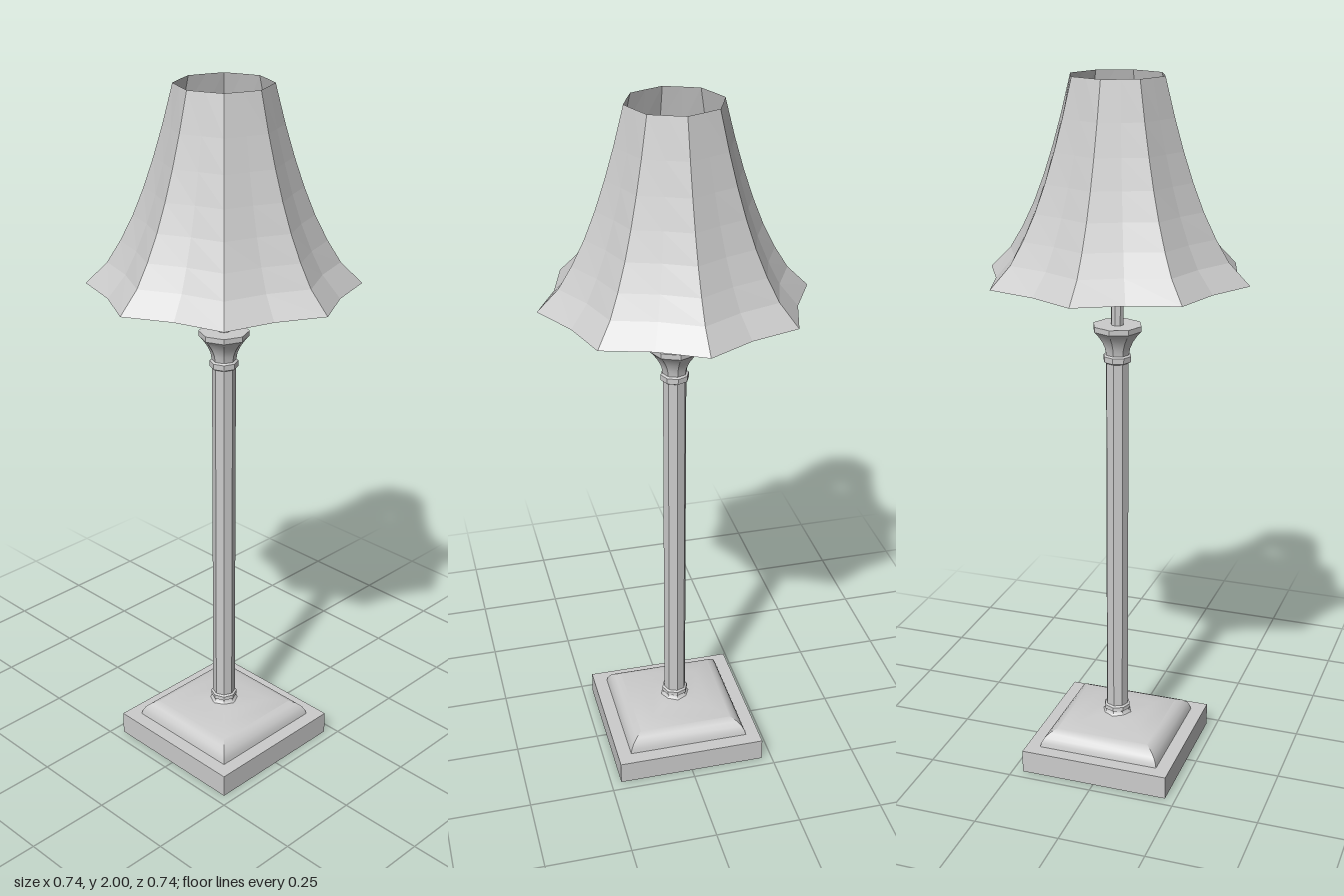
import * as THREE from 'three';
import { toCreasedNormals } from 'three/addons/utils/BufferGeometryUtils.js';

const points = (profile) => profile.map(([r, y]) => new THREE.Vector2(r, y));

export function createModel() {
  const lamp = new THREE.Group();
  const smooth = new THREE.MeshStandardMaterial({ color: 0xcccccc });
  const faceted = new THREE.MeshStandardMaterial({
    color: 0xcccccc, flatShading: true, side: THREE.DoubleSide,
  });

  const add = (name, geometry, material = smooth) => {
    const mesh = new THREE.Mesh(geometry, material);
    mesh.name = name;
    lamp.add(mesh);
    return mesh;
  };

  // Turned part with a few sides; creases stay sharp between the sides
  const turned = (name, profile, sides = 8, start = 0, crease = 0.6) =>
    add(name, toCreasedNormals(new THREE.LatheGeometry(points(profile), sides, start), crease));

  // Square plinth
  const plinth = new THREE.BoxGeometry(0.44, 0.068, 0.44);
  plinth.translate(0, 0.034, 0);
  add('plinth', plinth);

  // Four-sided domed foot: half-widths become corner radii
  const foot = [[0.18, 0.066], [0.177, 0.08], [0.17, 0.094], [0.158, 0.106],
    [0.14, 0.115], [0.09, 0.122], [0.05, 0.128], [0.02, 0.132], [0, 0.132]]
    .map(([r, y]) => [r * Math.SQRT2, y]);
  turned('foot', foot, 4, Math.PI / 4);

  // Octagonal column with its lower and upper collars
  turned('column', [[0.05, 0.122], [0.038, 0.134], [0.034, 0.14], [0.039, 0.143],
    [0.039, 0.155], [0.033, 0.159], [0.033, 1.222], [0.04, 1.226], [0.04, 1.242],
    [0.034, 1.246]]);

  // Flared capital
  turned('capital', [[0.034, 1.246], [0.037, 1.265], [0.046, 1.285], [0.06, 1.305],
    [0.07, 1.315], [0.07, 1.33], [0, 1.33]]);

  // Stem and bulb
  turned('stem', [[0.018, 1.325], [0.018, 1.52]]);
  turned('bulb', [[0.018, 1.5], [0.024, 1.535], [0.036, 1.57], [0.055, 1.61],
    [0.075, 1.65], [0.087, 1.69], [0.089, 1.72], [0.083, 1.755], [0.066, 1.785],
    [0.037, 1.804], [0, 1.811]], 8, 0, 1);

  // Flared shade: eight ridges with the panels drawn inward between them
  const shadeProfile = [[0.371, 1.466], [0.312, 1.525], [0.275, 1.585], [0.24, 1.655],
    [0.21, 1.73], [0.183, 1.81], [0.158, 1.895], [0.131, 2]];
  const shade = new THREE.LatheGeometry(points(shadeProfile), 16);
  const pos = shade.attributes.position;
  const rows = shadeProfile.length;
  for (let i = 0; i < pos.count; i++) {
    if (Math.floor(i / rows) % 2 === 0) continue;
    const pinch = THREE.MathUtils.mapLinear(pos.getY(i), 1.466, 2, 0.885, 0.93);
    pos.setX(i, pos.getX(i) * pinch);
    pos.setZ(i, pos.getZ(i) * pinch);
  }
  shade.computeVertexNormals();
  add('shade', shade, faceted);

  return lamp;
}
